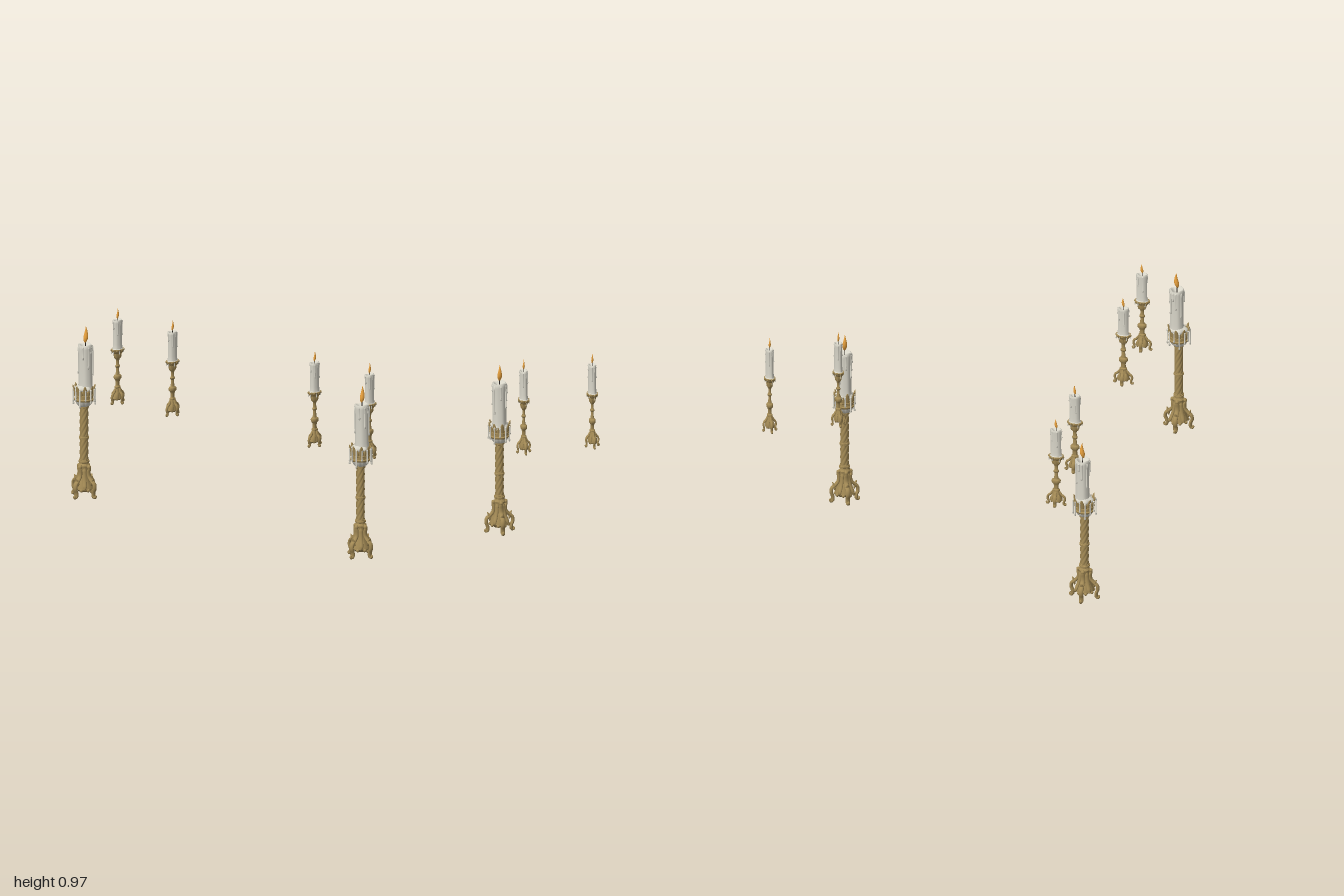
import * as THREE from 'three';
import { toCreasedNormals } from 'three/addons/utils/BufferGeometryUtils.js';

const mat = (color) => new THREE.MeshStandardMaterial({ color, side: THREE.DoubleSide });
const brass = mat(0xa38a55), wax = mat(0xd8d5c8), fire = mat(0xe8a03c), dark = mat(0x2a2420);

function add(parent, name, geometry, material) {
  const mesh = new THREE.Mesh(geometry, material);
  mesh.name = name;
  parent.add(mesh);
  return mesh;
}

// Moves every vertex by a rule and refreshes the normals
function reshape(geometry, rule) {
  const p = geometry.attributes.position, v = new THREE.Vector3();
  for (let i = 0; i < p.count; i++) {
    rule(v.fromBufferAttribute(p, i), i);
    p.setXYZ(i, v.x, v.y, v.z);
  }
  geometry.computeVertexNormals();
  return geometry;
}

// Turned part from [radius, height] pairs
const turned = (profile, sides = 28) => toCreasedNormals(
  new THREE.LatheGeometry(profile.map(([r, y]) => new THREE.Vector2(r, y)), sides), 0.75);

// Round bar following [radius, height] points outward, with its own taper and sideways width
function scroll(points, thick, widen) {
  const path = new THREE.CatmullRomCurve3(points.map(([x, y]) => new THREE.Vector3(x, y, 0)));
  const steps = 44, sides = 10;
  return reshape(new THREE.TubeGeometry(path, steps, 1, sides), (v, i) => {
    const u = Math.floor(i / (sides + 1)) / steps;
    const c = path.getPointAt(u);
    const size = thick * Math.min(1, 0.35 + u * 4) * Math.sqrt(Math.max(0.01, Math.min(1, (1 - u) * 6)));
    v.sub(c).multiplyScalar(size);
    v.z *= widen;
    v.add(c);
  });
}

// Upright leaf whose tip bends outward (+x)
const leaf = (w, h, t, bend) => reshape(new THREE.SphereGeometry(1, 10, 12), (v) => {
  const k = (v.y + 1) / 2;
  v.set(v.x * t + bend * k * k, k * h, v.z * w * (1.15 - 0.5 * k));
});

// Places copies of a geometry around the vertical axis
function ring(parent, name, geometry, material, count, radius, y, start = 0) {
  for (let i = 0; i < count; i++) {
    const a = start + (i / count) * Math.PI * 2;
    const m = add(parent, name, geometry, material);
    m.position.set(Math.cos(a) * radius, y, -Math.sin(a) * radius);
    m.rotation.y = a;
  }
}

// Wax run ending in a drop
function drip(parent, angle, radius, top, bottom, w) {
  const h = top - bottom;
  const g = turned([[0.0001, 0], [w * 0.7, w * 0.3], [w, w * 1.1], [w * 0.6, w * 2.6],
    [w * 0.65, h * 0.8], [w * 0.9, h - w], [0.0001, h]], 8);
  add(parent, 'waxDrip', g, wax).position.set(Math.cos(angle) * radius, bottom, Math.sin(angle) * radius);
}

// Candle with uneven rim, runs of wax, wick and flame, standing on y = 0
function makeCandle(r, h, flameH, drips) {
  const g = new THREE.Group();
  g.name = 'candle';
  const body = new THREE.LatheGeometry([[r * 1.12, 0], [r * 1.02, h * 0.06], [r * 0.95, h * 0.2], [r * 0.94, h * 0.5],
    [r * 0.96, h * 0.8], [r * 1.04, h * 0.92], [r * 1.02, h * 0.98], [r * 0.88, h], [r * 0.7, h * 0.97],
    [r * 0.4, h * 0.93], [0.0001, h * 0.925]].map(([x, y]) => new THREE.Vector2(x, y)), 32);
  add(g, 'candleBody', reshape(body, (v) => {
    const a = Math.atan2(v.z, v.x);
    const k = 1 + 0.03 * Math.sin(3 * a + 0.6) + 0.02 * Math.cos(7 * a);
    v.x *= k;
    v.z *= k;
    if (v.y > h * 0.9) v.y += h * 0.018 * Math.sin(3 * a + 1) * Math.hypot(v.x, v.z) / r;
  }), wax);
  // Runs of differing length down the side
  for (let i = 0; i < drips; i++) {
    const length = h * (0.16 + 0.5 * ((i * 0.618) % 1));
    drip(g, i * Math.PI * 2 / drips + 0.25 * Math.sin(i * 5), r * 0.99, h * 0.97, h * 0.97 - length, r * 0.16);
  }
  add(g, 'wick', new THREE.CylinderGeometry(r * 0.05, r * 0.07, h * 0.15, 8), dark).position.y = h * 0.99;
  const f = flameH;
  const flame = new THREE.LatheGeometry([[0.0001, 0], [f * 0.06, f * 0.05], [f * 0.125, f * 0.2], [f * 0.14, f * 0.34],
    [f * 0.115, f * 0.52], [f * 0.07, f * 0.72], [f * 0.03, f * 0.88], [0.0001, f]].map(([x, y]) => new THREE.Vector2(x, y)), 16);
  add(g, 'flame', reshape(flame, (v) => { v.z -= 0.06 * f * Math.sin(v.y / f * 3.5 - 0.8); }), fire).position.y = h * 1.03;
  return g;
}

function makeTallCandlestick() {
  const g = new THREE.Group();
  g.name = 'tallCandlestick';

  // Four scrolled legs around a bell-shaped base
  add(g, 'baseBell', turned([[0.0001, 0.04], [0.03, 0.035], [0.05, 0.05], [0.047, 0.065], [0.036, 0.09], [0.028, 0.12],
    [0.026, 0.15], [0.03, 0.17], [0.022, 0.182]]), brass);
  const leg = scroll([[0.026, 0.176], [0.036, 0.166], [0.031, 0.14], [0.034, 0.115], [0.05, 0.095], [0.067, 0.08],
    [0.071, 0.058], [0.063, 0.036], [0.063, 0.016], [0.072, 0.009], [0.078, 0.017], [0.073, 0.026]], 0.0088, 1.4);
  ring(g, 'leg', leg, brass, 4, 0, 0);
  ring(g, 'legScroll', new THREE.SphereGeometry(0.0105, 12, 8), brass, 4, 0.033, 0.165);
  const rib = scroll([[0.024, 0.165], [0.027, 0.13], [0.034, 0.1], [0.046, 0.072], [0.054, 0.055], [0.06, 0.06]], 0.007, 1.5);
  ring(g, 'baseLeaf', rib, brass, 4, 0, 0, Math.PI / 4);
  ring(g, 'baseBead', new THREE.SphereGeometry(0.009, 10, 8), brass, 8, 0.047, 0.046, Math.PI / 8);
  ring(g, 'legLeaf', leaf(0.013, 0.045, 0.006, 0.012), brass, 4, 0.052, 0.068);

  // Twisted shaft with collars
  const shaft = new THREE.CylinderGeometry(0.021, 0.021, 0.31, 48, 60, true);
  add(g, 'twistedShaft', reshape(shaft, (v) => {
    const a = Math.atan2(v.z, v.x), k = 0.95 + 0.11 * Math.abs(Math.cos(3 * (a + 26 * v.y)));
    v.x *= k;
    v.z *= k;
  }), brass).position.y = 0.335;
  for (const [y, r] of [[0.192, 0.028], [0.317, 0.026], [0.481, 0.025]]) {
    add(g, 'collar', turned([[0.018, -0.012], [r * 0.88, -0.01], [r * 0.88, -0.006], [r, -0.004], [r, 0.004],
      [r * 0.88, 0.006], [r * 0.88, 0.01], [0.018, 0.012]]), brass).position.y = y;
  }

  // Lobed wax-covered bowl below the crown
  const bowl = new THREE.LatheGeometry([[0.02, 0.483], [0.028, 0.487], [0.037, 0.497], [0.044, 0.512], [0.046, 0.52]]
    .map(([x, y]) => new THREE.Vector2(x, y)), 48);
  add(g, 'bowl', reshape(bowl, (v) => {
    const k = 1 + 0.05 * Math.cos(12 * Math.atan2(v.z, v.x));
    v.x *= k;
    v.z *= k;
  }), wax);
  add(g, 'crown', turned([[0.04, 0.512], [0.048, 0.514], [0.052, 0.519], [0.052, 0.524], [0.046, 0.527], [0.046, 0.538],
    [0.053, 0.541], [0.053, 0.547], [0.048, 0.55], [0.05, 0.565], [0.045, 0.568], [0.0001, 0.565]]), brass);
  ring(g, 'crownLeaf', leaf(0.013, 0.062, 0.005, 0.011), brass, 8, 0.047, 0.538);
  ring(g, 'crownTip', leaf(0.007, 0.04, 0.004, 0.006), brass, 8, 0.049, 0.54, Math.PI / 8);

  // Melted wax over the crown
  add(g, 'waxPool', reshape(new THREE.SphereGeometry(1, 32, 12), (v) => {
    const k = 0.046 + 0.005 * Math.sin(5 * Math.atan2(v.z, v.x));
    v.set(v.x * k, v.y * 0.022, v.z * k);
  }), wax).position.y = 0.576;
  for (let i = 0; i < 12; i++) {
    drip(g, i * Math.PI / 6 + 0.2, 0.056 + 0.003 * Math.sin(i * 4), 0.583, 0.505 + 0.02 * Math.sin(i * 2.3), 0.0055);
  }

  const candle = makeCandle(0.037, 0.25, 0.088, 9);
  candle.position.set(0.002, 0.56, -0.01);
  g.add(candle);
  return g;
}

function makeSmallCandlestick() {
  const g = new THREE.Group();
  g.name = 'smallCandlestick';

  // Footed base
  add(g, 'baseBell', turned([[0.0001, 0.024], [0.022, 0.022], [0.034, 0.03], [0.032, 0.04], [0.024, 0.056],
    [0.019, 0.075], [0.014, 0.09]]), brass);
  const leg = scroll([[0.014, 0.088], [0.021, 0.074], [0.029, 0.062], [0.041, 0.053], [0.046, 0.038], [0.041, 0.022],
    [0.041, 0.01], [0.047, 0.006], [0.052, 0.011], [0.048, 0.017]], 0.0062, 1.45);
  ring(g, 'leg', leg, brass, 4, 0, 0);
  ring(g, 'baseLeaf', leaf(0.012, 0.045, 0.006, -0.008), brass, 4, 0.03, 0.022, Math.PI / 4);

  // Turned stem up to the drip dish
  add(g, 'stem', turned([[0.012, 0.082], [0.019, 0.086], [0.019, 0.092], [0.013, 0.097], [0.012, 0.115], [0.015, 0.126],
    [0.023, 0.134], [0.024, 0.145], [0.022, 0.15], [0.013, 0.155], [0.01, 0.17], [0.009, 0.19], [0.014, 0.195],
    [0.015, 0.201], [0.01, 0.207], [0.009, 0.228], [0.012, 0.236], [0.019, 0.243], [0.022, 0.258], [0.022, 0.268],
    [0.032, 0.272], [0.037, 0.28], [0.041, 0.29], [0.037, 0.292], [0.0001, 0.285]]), brass);
  ring(g, 'dishLobe', new THREE.SphereGeometry(0.007, 10, 8), brass, 8, 0.036, 0.285);
  ring(g, 'cupLeaf', leaf(0.008, 0.034, 0.004, 0.008), brass, 6, 0.019, 0.242);

  // Spilled wax
  add(g, 'waxPool', new THREE.SphereGeometry(1, 24, 10), wax).scale.set(0.034, 0.01, 0.034);
  g.children.at(-1).position.y = 0.29;
  for (let i = 0; i < 6; i++) drip(g, i * 1.05 + 0.4, 0.037, 0.294, 0.266 + 0.008 * Math.sin(i * 3), 0.0035);

  const candle = makeCandle(0.029, 0.16, 0.053, 7);
  candle.position.y = 0.285;
  g.add(candle);
  g.scale.x = 0.72;
  return g;
}

export function createModel() {
  const model = new THREE.Group();
  model.name = 'candlesticks';
  const tall = makeTallCandlestick(), small = makeSmallCandlestick();
  for (const side of [-1, 1]) {
    const t = tall.clone();
    t.position.set(side * 0.916, 0, 0.072);
    model.add(t);
    for (const x of [0.471, 0.835]) {
      const s = small.clone();
      s.position.set(side * x, 0.475, -0.1);
      model.add(s);
    }
  }
  return model;
}
